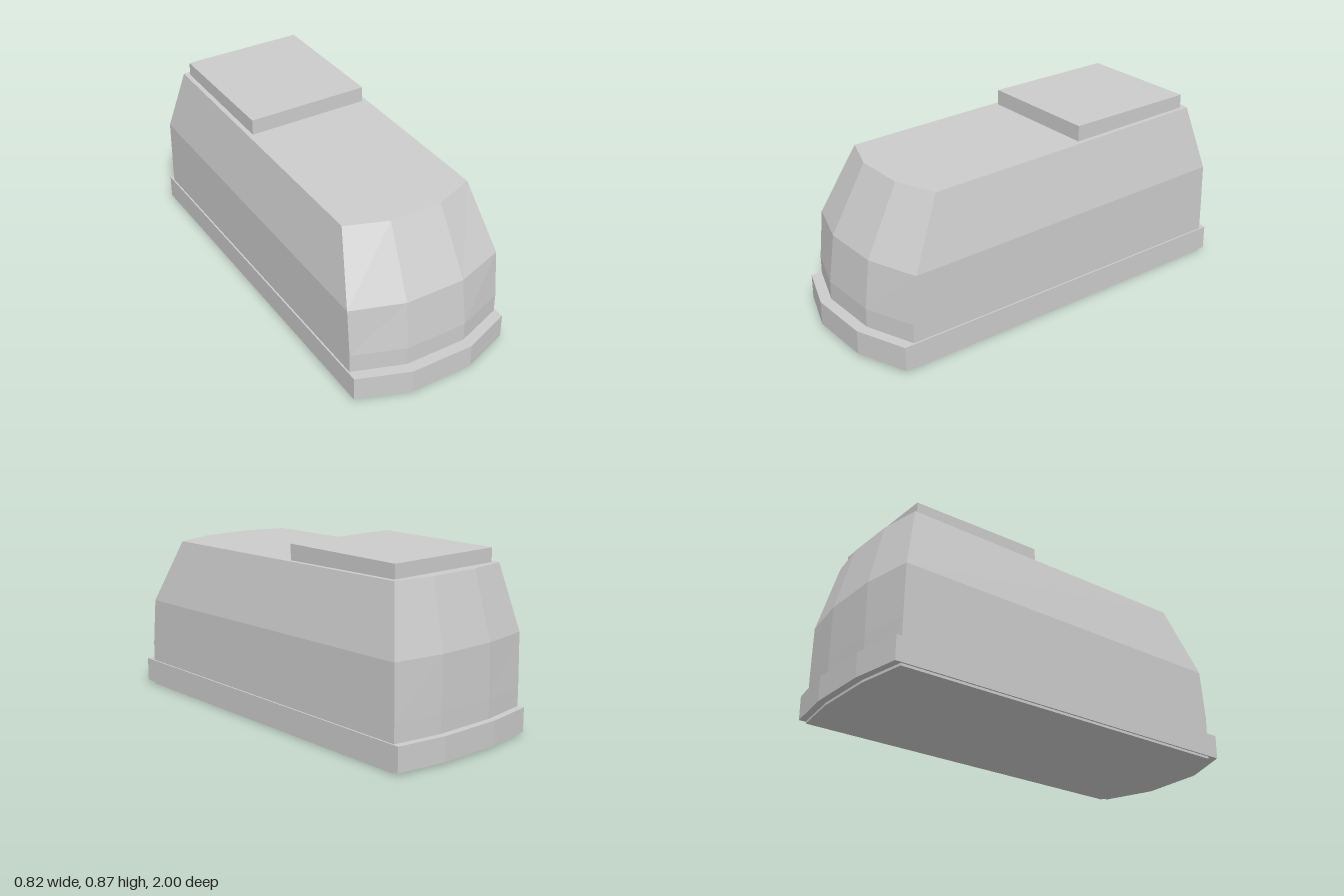
import * as THREE from 'three';

const material = new THREE.MeshStandardMaterial({ color: 0xcccccc, flatShading: true });

// Eight-cornered outline with bowed ends; height runs from yFront to yBack along z.
function ring({ yFront, yBack = yFront, half, mid, front, back }) {
  const [frontCorner, frontMid] = front;
  const [backCorner, backMid] = back;
  const outline = [
    [half, frontCorner], [mid, frontMid], [-mid, frontMid], [-half, frontCorner],
    [-half, backCorner], [-mid, backMid], [mid, backMid], [half, backCorner],
  ];
  return outline.map(([x, z]) => {
    const t = (frontMid - z) / (frontMid - backMid);
    return [x, yFront + (yBack - yFront) * t, z];
  });
}

// Joins rings from bottom to top and caps both ends.
function loft(rings) {
  const n = rings[0].length;
  const index = [];
  for (let r = 0; r < rings.length - 1; r++) {
    for (let i = 0; i < n; i++) {
      const a = r * n + i, b = r * n + (i + 1) % n;
      index.push(b, a, a + n, b, a + n, b + n);
    }
  }
  const top = (rings.length - 1) * n;
  for (let i = 1; i < n - 1; i++) {
    index.push(0, i, i + 1, top, top + i + 1, top + i);
  }
  const geometry = new THREE.BufferGeometry();
  geometry.setAttribute('position', new THREE.Float32BufferAttribute(rings.flat(2), 3));
  geometry.setIndex(index);
  const flat = geometry.toNonIndexed();
  flat.computeVertexNormals();
  return flat;
}

export function createModel() {
  const group = new THREE.Group();
  const add = (name, geometry) => {
    const mesh = new THREE.Mesh(geometry, material);
    mesh.name = name;
    group.add(mesh);
    return mesh;
  };

  // Tapered body shell with a sloping nose
  add('body', loft([
    ring({ yFront: 0, half: 0.4, mid: 0.155, front: [0.855, 0.945], back: [-0.93, -0.965] }),
    ring({ yFront: 0.222, half: 0.4, mid: 0.155, front: [0.855, 0.945], back: [-0.93, -0.967] }),
    ring({ yFront: 0.455, yBack: 0.482, half: 0.4, mid: 0.15, front: [0.83, 0.915], back: [-0.925, -0.965] }),
    ring({ yFront: 0.777, yBack: 0.801, half: 0.33, mid: 0.13, front: [0.67, 0.745], back: [-0.85, -0.883] }),
  ]));

  // Bumper skirt around the base
  const skirt = { half: 0.408, mid: 0.16, front: [0.907, 1], back: [-0.962, -1] };
  add('skirt', loft([ring({ yFront: 0.012, ...skirt }), ring({ yFront: 0.13, ...skirt })]));

  // Roof unit at the rear
  add('roofUnit', new THREE.BoxGeometry(0.612, 0.078, 0.67)).position.set(0, 0.828, -0.491);

  return group;
}
